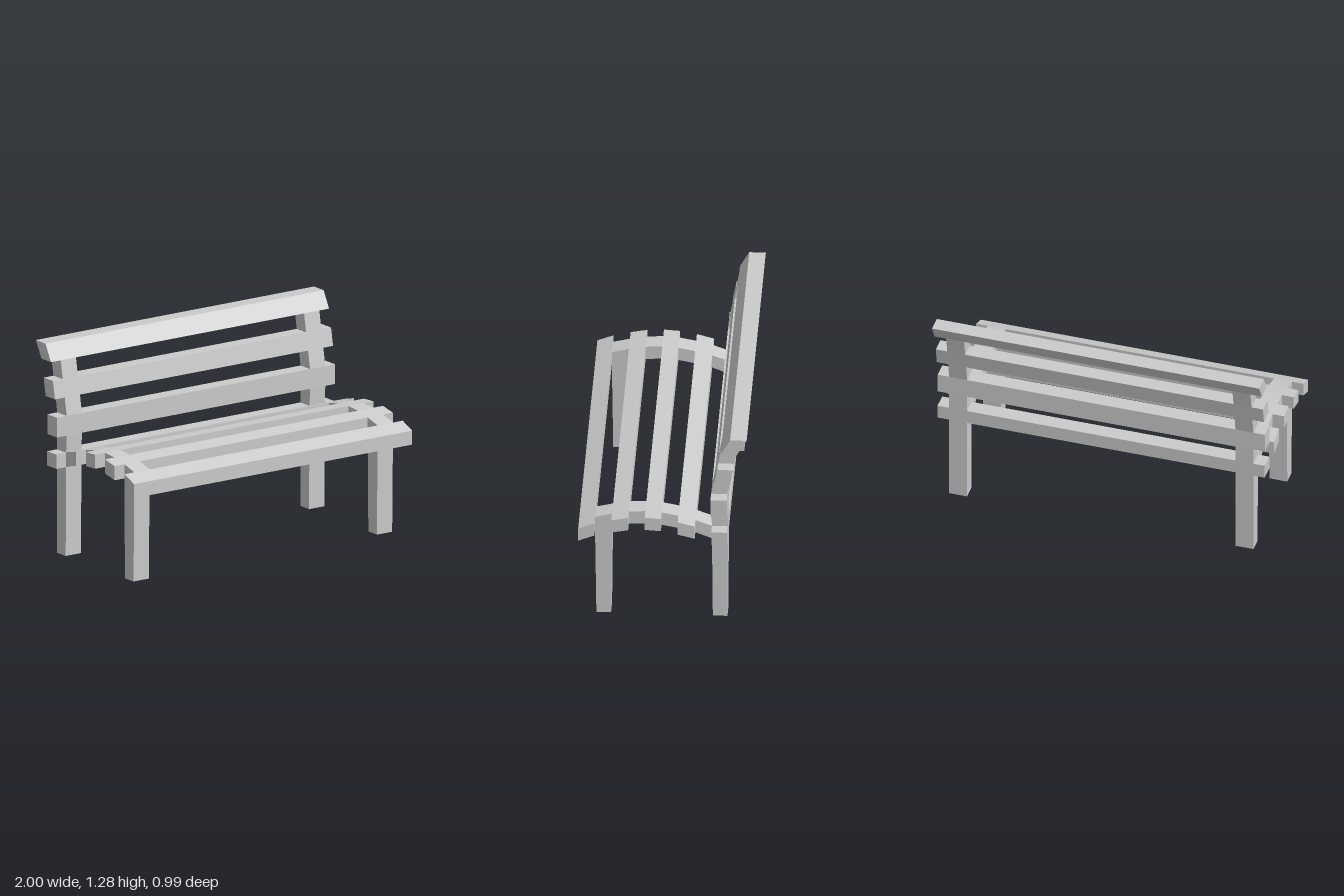
import * as THREE from 'three';

const material = new THREE.MeshStandardMaterial({ color: 0xcccccc, flatShading: true });
const POST_IN = 0.82, POST_OUT = 0.93;

// Seat stations from front to back: [z, top y, bottom y]
const seat = [
  [0.495, 0.626, 0.541], [0.4, 0.665, 0.58], [0.3, 0.691, 0.605], [0.202, 0.71, 0.625],
  [0.105, 0.716, 0.631], [0.01, 0.71, 0.625], [-0.088, 0.691, 0.605], [-0.188, 0.664, 0.579],
  [-0.285, 0.628, 0.541],
];

// Back stations from bottom to top: [y, front z, rear z]
const back = [
  [0.541, -0.285, -0.378], [0.628, -0.285, -0.378], [0.733, -0.28, -0.377], [0.853, -0.28, -0.375],
  [0.96, -0.3, -0.394], [1.067, -0.32, -0.413], [1.177, -0.34, -0.435], [1.277, -0.395, -0.492],
];

// Prism running along x from x0 to x1, with a side section of [z, y] corners
function prism(name, section, x0, x1) {
  const shape = new THREE.Shape(section.map(([z, y]) => new THREE.Vector2(-z, y)));
  const geometry = new THREE.ExtrudeGeometry(shape, { depth: x1 - x0, bevelEnabled: false });
  geometry.rotateY(Math.PI / 2).translate(x0, 0, 0);
  const mesh = new THREE.Mesh(geometry, material);
  mesh.name = name;
  return mesh;
}

// Matching prisms on the left and right posts
function pair(group, name, section) {
  group.add(prism(name + 'Left', section, POST_IN, POST_OUT));
  group.add(prism(name + 'Right', section, -POST_OUT, -POST_IN));
}

// Alternate full-width slats with short rail pieces
function slatted(name, sections) {
  const group = new THREE.Group();
  group.name = name;
  sections.forEach((section, i) => {
    if (i % 2 === 0) group.add(prism(name + 'Slat' + (i / 2 + 1), section, -1, 1));
    else pair(group, name + 'Rail' + (i + 1) / 2, section);
  });
  return group;
}

export function createModel() {
  const bench = new THREE.Group();
  bench.name = 'bench';

  // Arched seat
  bench.add(slatted('seat', seat.slice(1).map(([z1, t1, b1], i) => {
    const [z0, t0, b0] = seat[i];
    return [[z0, b0], [z1, b1], [z1, t1], [z0, t0]];
  })));

  // Curved backrest, starting with the slat at the rear of the seat
  bench.add(slatted('back', back.slice(1).map(([y1, f1, r1], i) => {
    const [y0, f0, r0] = back[i];
    return [[f0, y0], [r0, y0], [r1, y1], [f1, y1]];
  })));

  // Slightly tapered legs
  const legs = new THREE.Group();
  legs.name = 'legs';
  pair(legs, 'frontLeg', [[0.392, 0], [0.306, 0], [0.3, 0.605], [0.4, 0.58]]);
  pair(legs, 'backLeg', [[-0.29, 0], [-0.376, 0], [-0.378, 0.541], [-0.285, 0.541]]);
  bench.add(legs);

  return bench;
}
